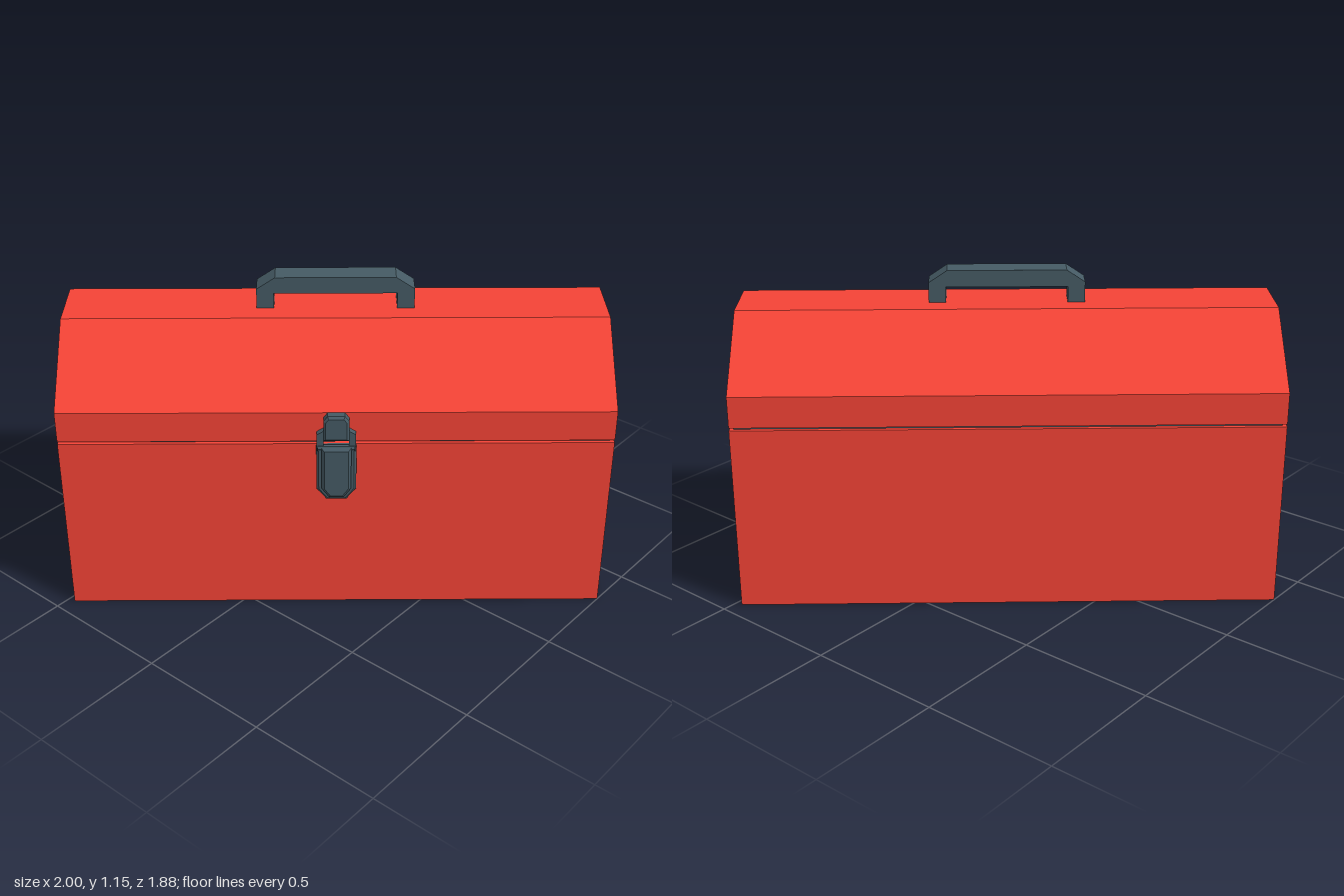
import * as THREE from 'three';

const red = new THREE.MeshStandardMaterial({ color: 0xf44336, flatShading: true });
const dark = new THREE.MeshStandardMaterial({ color: 0x455a64, flatShading: true });

const HALF_L = 0.971, HALF_W = 0.404;

function add(parent, name, geometry, material, x = 0, y = 0, z = 0) {
  const mesh = new THREE.Mesh(geometry, material);
  mesh.name = name;
  mesh.position.set(x, y, z);
  parent.add(mesh);
  return mesh;
}

// Extrudes a polygon outline along z, from z = 0 to depth
function slab(points, depth, bevel = 0) {
  const shape = new THREE.Shape(points.map(([x, y]) => new THREE.Vector2(x, y)));
  return new THREE.ExtrudeGeometry(shape, {
    depth: depth - bevel, bevelEnabled: bevel > 0, bevelSize: bevel,
    bevelThickness: bevel, bevelOffset: -bevel, bevelSegments: 1,
  });
}

// Completes a right-hand outline (listed bottom to top) with its mirror image
const mirrored = (half) => [...half, ...half.map(([x, y]) => [-x, y]).reverse()];

export function createModel() {
  const root = new THREE.Group();
  root.name = 'toolbox';
  const box = new THREE.Group();
  box.name = 'turnedBox';
  box.rotation.y = THREE.MathUtils.degToRad(40.6);
  root.add(box);

  // Tray, dark recessed seam and hipped lid
  add(box, 'body', new THREE.BoxGeometry(2 * HALF_L, 0.685, 2 * HALF_W), red, 0, 0.3425);
  add(box, 'seam', new THREE.BoxGeometry(2 * HALF_L - 0.03, 0.03, 2 * HALF_W - 0.03), dark, 0, 0.69);
  const lidProfile = mirrored([[HALF_W, 0.695], [HALF_W, 0.81], [0.12, 1.03]]);
  const lid = slab(lidProfile, 2 * HALF_L);
  lid.translate(0, 0, -HALF_L).rotateY(Math.PI / 2);
  add(box, 'lid', lid, red);

  // Carrying handle: a chamfered arch
  const arch = [
    [-0.282, 1.025], [-0.282, 1.105], [-0.215, 1.15], [0.215, 1.15], [0.282, 1.105], [0.282, 1.025],
    [0.22, 1.025], [0.22, 1.088], [-0.22, 1.088], [-0.22, 1.025],
  ];
  add(box, 'handle', slab(arch, 0.085), dark, 0, 0, -0.0425);

  // Front latch
  const latch = new THREE.Group();
  latch.name = 'latch';
  latch.position.z = HALF_W - 0.002;
  box.add(latch);

  const plate = mirrored([[0.035, 0.465], [0.07, 0.51], [0.07, 0.68]]);
  add(latch, 'latchPlate', slab(plate, 0.026, 0.008), dark);
  const lever = mirrored([[0.026, 0.482], [0.052, 0.518], [0.052, 0.685]]);
  add(latch, 'latchLever', slab(lever, 0.042, 0.01), dark);

  // Pivot pin and the two arms reaching up to the catch
  const pin = new THREE.CylinderGeometry(0.013, 0.013, 0.13, 8).rotateZ(Math.PI / 2);
  add(latch, 'latchPin', pin, dark, 0, 0.68, 0.02);
  for (const side of [-1, 1]) {
    add(latch, 'latchArm', slab([[-0.012, 0.67], [0.012, 0.67], [0.012, 0.735], [-0.012, 0.75]]
      .map(([x, y]) => [x * side, y]), 0.026), dark, side * 0.056);
  }
  add(latch, 'latchCrossbar', new THREE.BoxGeometry(0.11, 0.025, 0.018), dark, 0, 0.73, 0.014);

  // Catch on the lid
  const tongue = mirrored([[0.045, 0.712], [0.045, 0.79], [0.03, 0.81]]);
  add(latch, 'catch', slab(tongue, 0.036, 0.008), dark);

  return root;
}
